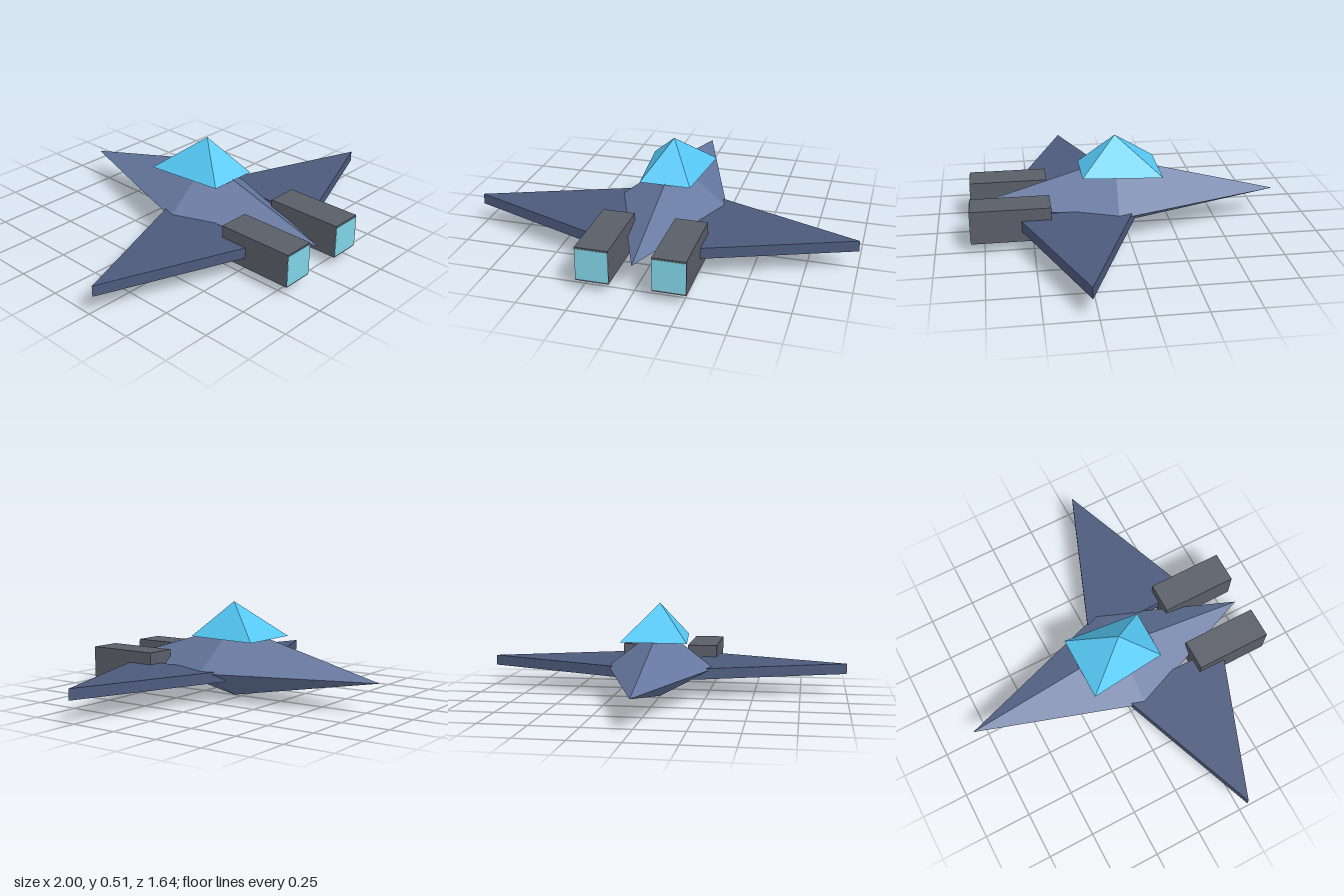
import * as THREE from 'three';
import { ConvexGeometry } from 'three/addons/geometries/ConvexGeometry.js';

const material = (color) => {
  const m = new THREE.MeshStandardMaterial({ flatShading: true });
  m.color.set(color);
  return m;
};

// Faceted solid from its corner points
const solid = (corners) =>
  new ConvexGeometry(corners.map((c) => new THREE.Vector3(...c)));

export function createModel() {
  const model = new THREE.Group();
  model.name = 'spaceFighter';

  const hullMat = material(0x6678a0);
  const wingMat = material(0x4c5a7c);
  const canopyMat = material(0x55c8f5);
  const engineMat = material(0x5a5e68);
  const glowMat = material(0x80d4e6);

  const add = (name, geometry, mat, parent = model) => {
    const mesh = new THREE.Mesh(geometry, mat);
    mesh.name = name;
    parent.add(mesh);
    return mesh;
  };

  // Diamond fuselage: nose, tail, two flanks, spine peak and keel
  add('fuselage', solid([
    [0, 0.16, -0.82], [0, 0.16, 0.79],
    [-0.29, 0.16, 0.065], [0.29, 0.16, 0.065],
    [0, 0.385, 0.05], [0, 0.005, 0.05],
  ]), hullMat);

  // Pyramid canopy, wider towards the nose
  add('canopy', solid([
    [0, 0.512, 0.05],
    [-0.175, 0.325, -0.18], [0.175, 0.325, -0.18],
    [-0.133, 0.325, 0.235], [0.133, 0.325, 0.235],
  ]), canopyMat);

  for (const [side, s] of [['left', 1], ['right', -1]]) {
    // Triangular slab wing
    const plan = [[0.19, -0.03], [0.19, 0.59], [1, 0.28]];
    const corners = [0.113, 0.17].flatMap((y) => plan.map(([x, z]) => [s * x, y, z]));
    add(side + 'Wing', solid(corners), wingMat);

    // Box engine with a glowing exhaust panel
    const engine = new THREE.Group();
    engine.name = side + 'Engine';
    engine.position.set(s * 0.188, 0.147, 0.613);
    model.add(engine);
    add(side + 'EngineHousing', new THREE.BoxGeometry(0.166, 0.176, 0.41), engineMat, engine);
    add(side + 'ExhaustGlow', new THREE.BoxGeometry(0.164, 0.16, 0.01), glowMat, engine)
      .position.z = 0.202;
  }

  return model;
}
